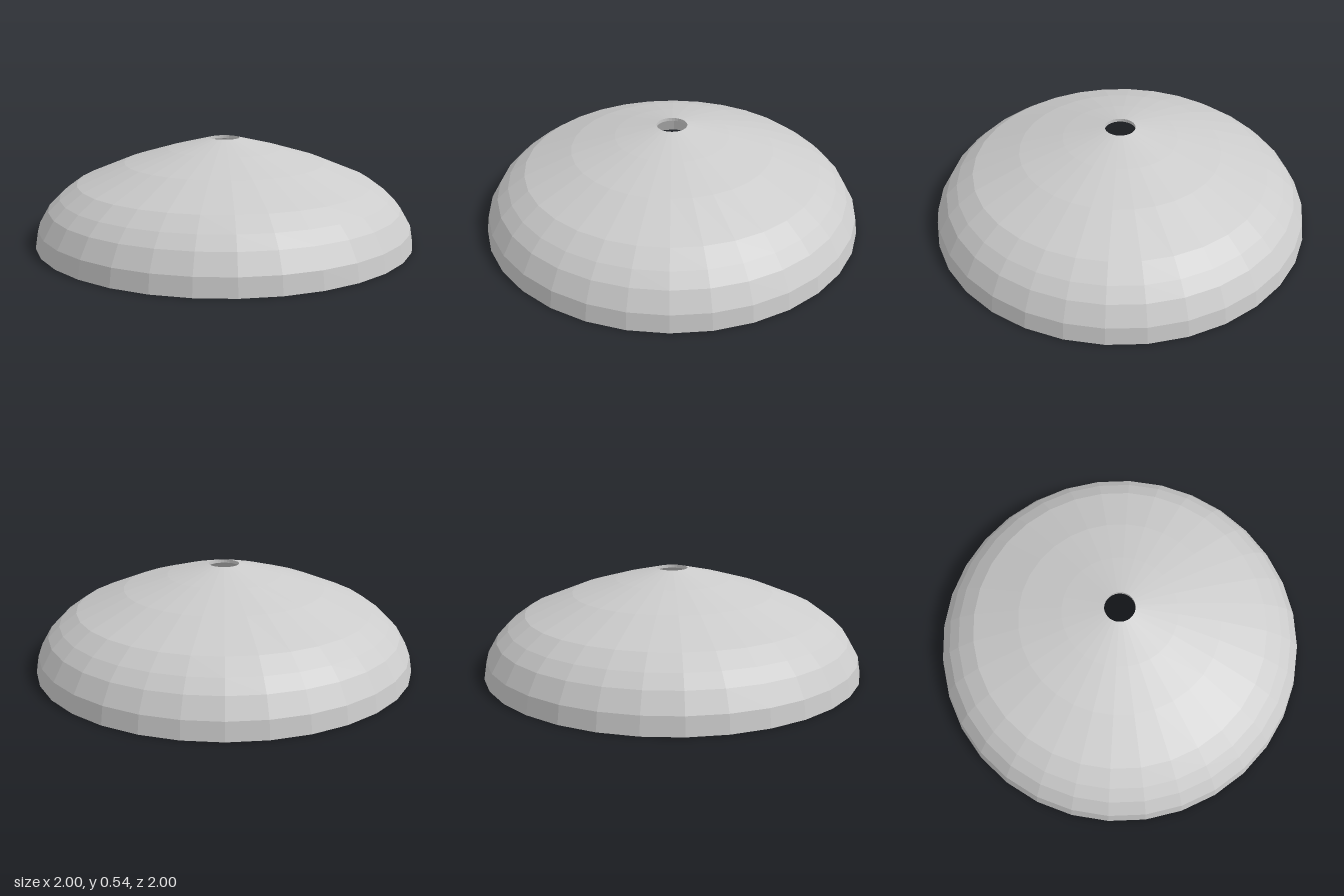
import * as THREE from 'three';

export function createModel() {
  const group = new THREE.Group();
  const material = new THREE.MeshStandardMaterial({ color: 0xcccccc, flatShading: true });

  // Outer profile from the bottom rim up to the centre hole: [radius, height]
  const outer = [
    [1, 0], [0.985, 0.09], [0.93, 0.185], [0.87, 0.245],
    [0.78, 0.31], [0.53, 0.413], [0.3, 0.482], [0.08, 0.537],
  ];
  // Inner profile, back down: a thin wall that narrows at the rim
  const inner = [
    [0.08, 0.52], [0.297, 0.466], [0.524, 0.398], [0.77, 0.297],
    [0.858, 0.234], [0.916, 0.177], [0.97, 0.086], [0.992, 0],
  ];
  const profile = [...outer, ...inner, outer[0]].map(([r, y]) => new THREE.Vector2(r, y));

  // Faceted dome shade with an open bottom and a hole through its top
  const shade = new THREE.Mesh(new THREE.LatheGeometry(profile, 32), material);
  shade.name = 'domeShade';
  group.add(shade);
  return group;
}
